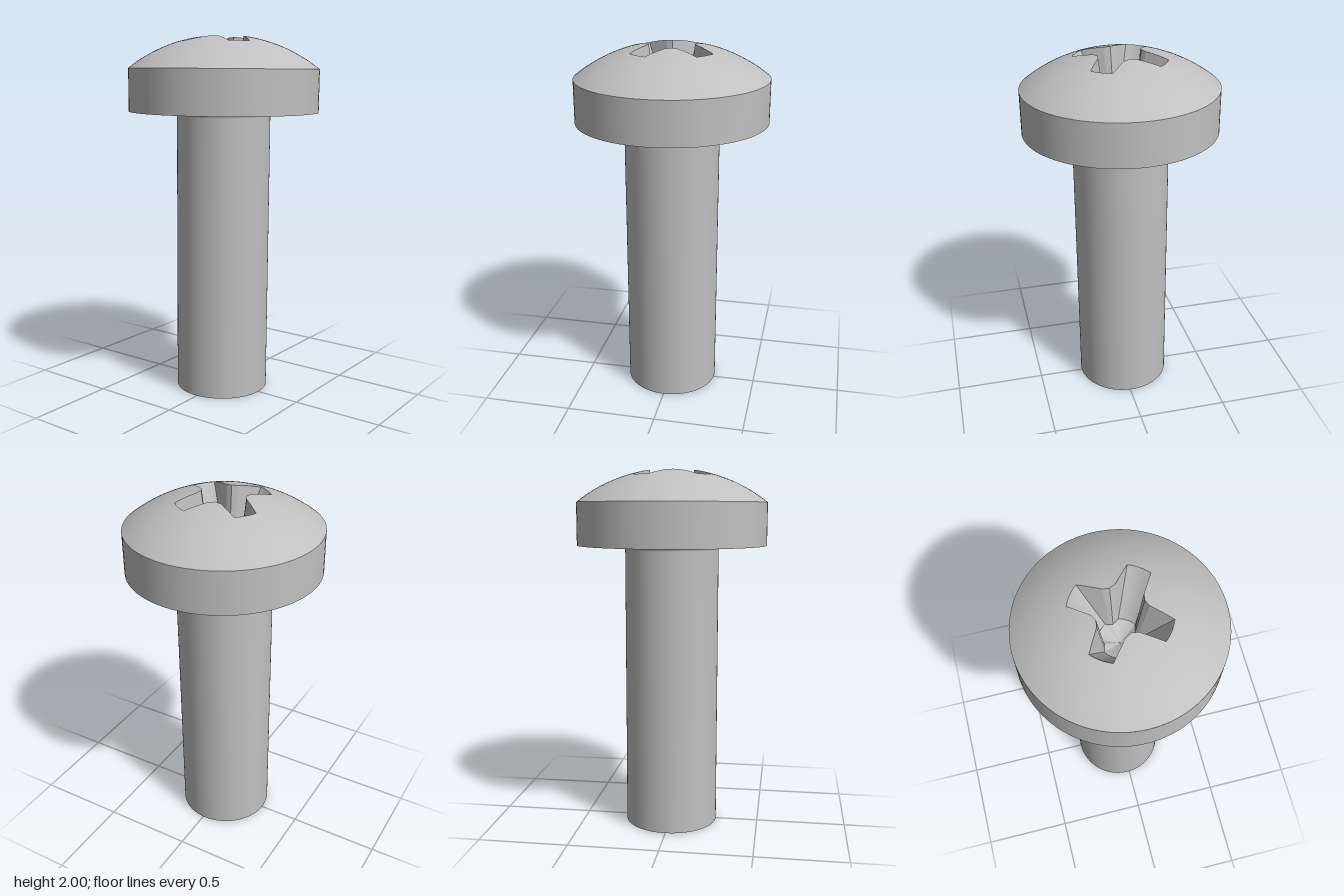
import * as THREE from 'three';
import { toCreasedNormals } from 'three/addons/utils/BufferGeometryUtils.js';

const HEAD_R = 0.526, RIM_Y = 1.825, RISE = 0.183, SHAFT_R = 0.26, HEAD_Y = 1.59, BASE_Y = 0.003;
const FLOOR_Y = 1.68, TIP_Y = 1.625;
const SPHERE_R = (HEAD_R ** 2 + RISE ** 2) / (2 * RISE);

// height of the domed head at a distance from the axis
const domeY = (r) => RIM_Y + RISE - SPHERE_R + Math.sqrt(SPHERE_R ** 2 - r * r);

// four-armed cross outline; sides are subdivided so that every level has matching points
function crossOutline(endR, halfWidth, corner, notch) {
  const arm = [];
  const side = (a, b, n) => {
    for (let i = 0; i < n; i++) {
      const t = i / n;
      arm.push([a[0] + (b[0] - a[0]) * t, a[1] + (b[1] - a[1]) * t]);
    }
  };
  const a = Math.asin(halfWidth / endR), end = [endR * Math.cos(a), halfWidth];
  const flip = (p) => [p[0], -p[1]];
  side(flip(notch), flip(corner), 3);
  side(flip(corner), flip(end), 6);
  for (let i = 0; i < 8; i++) {
    const t = -a + (2 * a * i) / 8;
    arm.push([endR * Math.cos(t), endR * Math.sin(t)]);
  }
  side(end, corner, 6);
  side(corner, notch, 3);
  const points = [];
  for (let k = 0; k < 4; k++) {
    const t = THREE.MathUtils.degToRad(55 + 90 * k), c = Math.cos(t), s = Math.sin(t);
    for (const [x, y] of arm) points.push([x * c - y * s, x * s + y * c]);
  }
  return points;
}

// skin between closed rings, listed from the inside outwards, facing up
function skin(rings, crease) {
  const pos = [];
  for (let i = 0; i + 1 < rings.length; i++) {
    const A = rings[i], B = rings[i + 1], n = B.length;
    for (let j = 0; j < n; j++) {
      const k = (j + 1) % n;
      if (A.length === 1) pos.push(...A[0], ...B[j], ...B[k]);
      else pos.push(...A[j], ...B[j], ...A[k], ...A[k], ...B[j], ...B[k]);
    }
  }
  const g = new THREE.BufferGeometry();
  g.setAttribute('position', new THREE.Float32BufferAttribute(pos, 3));
  return toCreasedNormals(g, crease);
}

export function createModel() {
  const group = new THREE.Group();
  group.name = 'screw';
  const steel = new THREE.MeshStandardMaterial({ color: 0xc0c0c0 });
  steel.name = 'steel';

  const add = (name, geometry) => {
    const mesh = new THREE.Mesh(geometry, steel);
    mesh.name = name;
    group.add(mesh);
  };
  const lathe = (name, points) =>
    add(name, new THREE.LatheGeometry(points.map((p) => new THREE.Vector2(...p)), 96));

  // shaft with a small fillet under the head
  const shaft = [[SHAFT_R, BASE_Y], [SHAFT_R, 1.565]];
  for (let i = 1; i <= 6; i++) {
    const t = (i / 6) * Math.PI / 2;
    shaft.push([SHAFT_R + 0.025 * (1 - Math.cos(t)), HEAD_Y - 0.025 + 0.025 * Math.sin(t)]);
  }
  lathe('shaftEnd', [[0, BASE_Y], [SHAFT_R, BASE_Y]]);
  lathe('shaft', shaft);

  // head underside and straight rim
  lathe('headUnderside', [[SHAFT_R + 0.025, HEAD_Y], [HEAD_R, HEAD_Y]]);
  lathe('headRim', [[HEAD_R, HEAD_Y], [HEAD_R, RIM_Y]]);

  // dome, running from the cross opening out to the rim
  const top = crossOutline(0.25, 0.059, [0.117, 0.07], [0.086, 0.086]);
  const bottom = crossOutline(0.105, 0.045, [0.077, 0.05], [0.058, 0.058]);
  const domeRings = [];
  for (let i = 0; i <= 14; i++) {
    domeRings.push(top.map(([x, y]) => {
      const r0 = Math.hypot(x, y), r = r0 + (HEAD_R - r0) * (i / 14);
      return [(x / r0) * r, domeY(r), (-y / r0) * r];
    }));
  }
  add('headDome', skin(domeRings, 0.6));

  // driver recess: tapering walls and a shallow conical floor
  const floorRing = bottom.map(([x, y]) => [x, FLOOR_Y, -y]);
  add('recessWalls', skin([floorRing, domeRings[0]], 0.3));
  add('recessFloor', skin([[[0, TIP_Y, 0]], floorRing], 0.3));

  // the whole screw leans very slightly
  group.rotation.z = -0.009;
  group.position.x = -0.0153;
  const model = new THREE.Group();
  model.name = 'panHeadScrew';
  model.add(group);
  return model;
}
